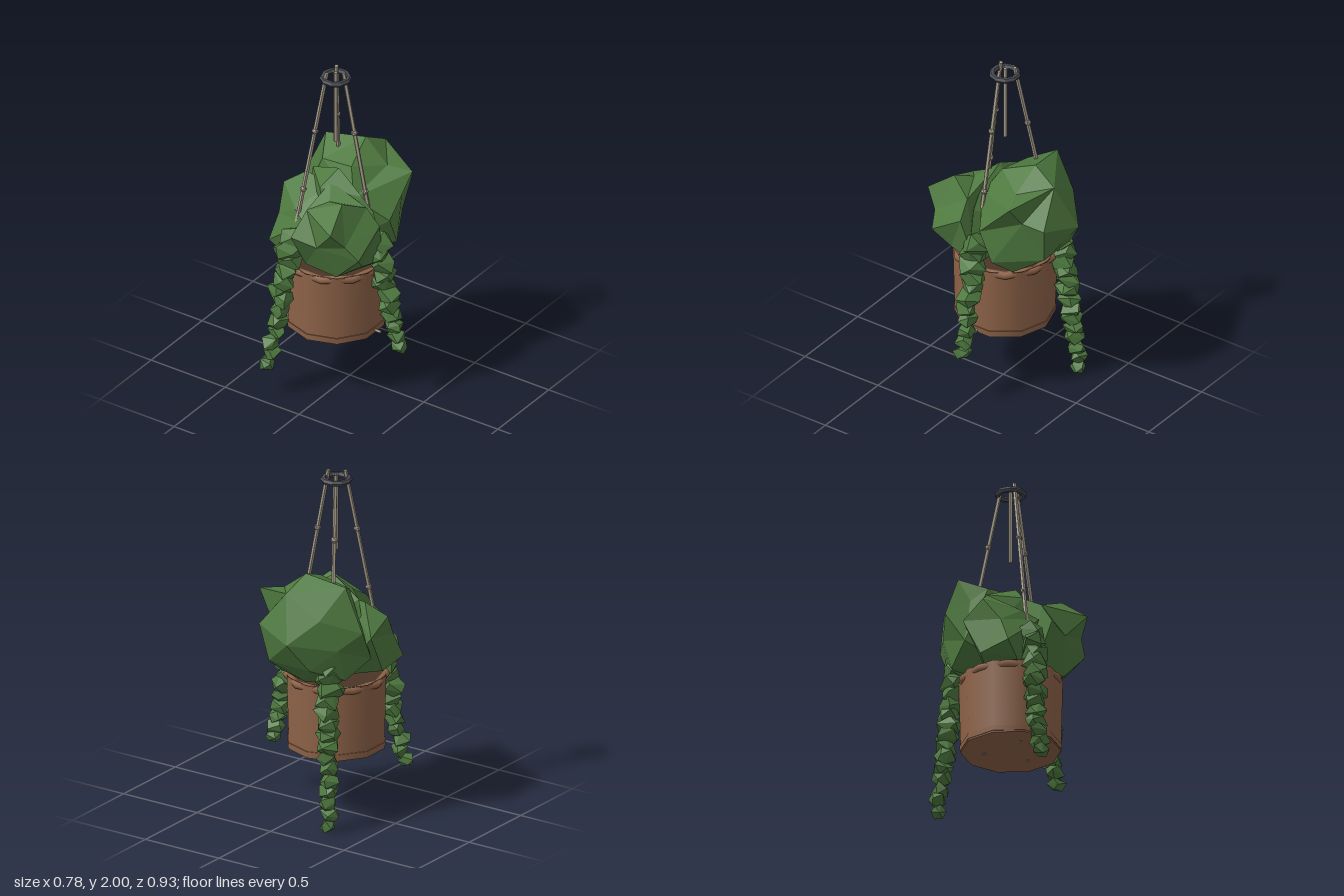
import * as THREE from 'three';
import { ConvexGeometry } from 'three/addons/geometries/ConvexGeometry.js';

const mat = (color, flatShading = false) => new THREE.MeshStandardMaterial({ color, flatShading });
const V = (x, y, z) => new THREE.Vector3(x, y, z);

// Small seeded generator, 0..1
function seeded(seed) {
  let s = seed;
  return () => (s = (s * 16807) % 2147483647) / 2147483647;
}

// Jagged closed clump: joins the points as seen from the centre, so dents stay
function clumpGeometry(centre, points) {
  const dirs = points.map((p) => p.clone().sub(centre).normalize());
  const geo = new ConvexGeometry(dirs);
  const pos = geo.attributes.position;
  const v = V(0, 0, 0);
  for (let i = 0; i < pos.count; i++) {
    v.fromBufferAttribute(pos, i);
    let best = 0;
    dirs.forEach((d, k) => { if (d.dot(v) > dirs[best].dot(v)) best = k; });
    pos.setXYZ(i, ...points[best].toArray());
  }
  geo.computeVertexNormals();
  return geo;
}

export function createModel() {
  const model = new THREE.Group();
  const green = mat(0x4f7a40, true);
  const clay = mat(0x8f6449);
  const rope = mat(0xa89e8c, true);
  const iron = mat(0x4a4c54, true);
  const soil = mat(0x4a3527);

  const add = (parent, name, geometry, material, pos) => {
    const mesh = new THREE.Mesh(geometry, material);
    mesh.name = name;
    if (pos) mesh.position.copy(pos);
    parent.add(mesh);
    return mesh;
  };

  // Pot, hanger and ropes share one axis
  const stand = new THREE.Group();
  stand.name = 'hangingPot';
  stand.position.set(-0.07, 0, 0.038);
  model.add(stand);

  // Pot: ten-sided tapered wall with a foot band, base and soil
  add(stand, 'potWall', new THREE.CylinderGeometry(0.291, 0.28, 0.435, 10, 1, true), clay, V(0, 0.597, 0));
  add(stand, 'footBand', new THREE.CylinderGeometry(0.286, 0.284, 0.03, 10), clay, V(0, 0.402, 0));
  add(stand, 'potBase', new THREE.CylinderGeometry(0.28, 0.28, 0.015, 10), clay, V(0, 0.385, 0));
  add(stand, 'soil', new THREE.CylinderGeometry(0.289, 0.289, 0.02, 10), soil, V(0, 0.8, 0));
  // Rim corners sit over the flats of the wall
  const rim = add(stand, 'potRim', new THREE.TorusGeometry(0.278, 0.022, 6, 10), clay, V(0, 0.793, 0));
  rim.rotation.x = Math.PI / 2;

  // Hanging ring
  const ring = add(stand, 'hangingRing', new THREE.TorusGeometry(0.074, 0.017, 6, 10), iron, V(0, 1.957, 0));
  ring.rotation.x = Math.PI / 2;

  // Straight five-sided rod between two points
  const rod = (parent, name, a, b, r) => {
    const dir = b.clone().sub(a);
    const mesh = add(parent, name, new THREE.CylinderGeometry(r, r, dir.length(), 5), rope,
      a.clone().add(b).multiplyScalar(0.5));
    mesh.quaternion.setFromUnitVectors(V(0, 1, 0), dir.normalize());
  };

  rod(stand, 'centreRope', V(0, 1.54, 0), V(0, 1.99, 0), 0.012);
  for (let i = 0; i < 3; i++) {
    const side = new THREE.Group();
    side.name = 'rope' + (i + 1);
    side.rotation.y = (i * Math.PI * 2) / 3;
    stand.add(side);
    rod(side, 'slantedRope', V(0.055, 2, 0), V(0.285, 0.85, 0), 0.012);
    for (const y of [1.64, 1.28, 0.92])
      add(side, 'knot', new THREE.IcosahedronGeometry(0.021, 0), rope, V(0.055 + (2 - y) * 0.2, y, 0));
    // Strap under the pot, one end poking through the wall
    rod(side, 'baseStrap', V(0, 0.392, 0), V(i === 0 ? 0.305 : 0.265, 0.392, 0), 0.009);
    add(side, 'baseKnot', new THREE.IcosahedronGeometry(0.018, 0), rope, V(0.15, 0.388, 0));
  }

  // Foliage clumps: first point is the centre, the rest its corners
  const clumps = {
    backFoliage: [[-0.04, 1.12, -0.13],
      [-0.08, 1.12, -0.46], [0.155, 1.18, -0.39], [0.0, 1.38, -0.35], [-0.03, 1.46, -0.2],
      [-0.28, 1.42, -0.17], [-0.21, 1.25, -0.33], [0.265, 1.32, -0.23], [-0.395, 1.17, -0.17],
      [0.255, 1.1, -0.02], [0.01, 1.38, 0.0], [-0.2, 1.35, -0.02], [0.08, 1.24, 0.08],
      [-0.37, 0.98, -0.05], [0.25, 0.92, -0.1], [0.11, 0.96, -0.36], [-0.16, 0.95, -0.35],
      [-0.3, 0.88, -0.2], [-0.04, 0.82, -0.22], [0.16, 0.84, -0.18], [-0.1, 0.84, 0.1],
      [0.18, 1.2, -0.26], [-0.27, 1.27, -0.09], [0.13, 1.34, -0.18], [-0.29, 1.07, -0.27]],
    frontFoliage: [[0.04, 1.06, 0.17],
      [0.265, 1.0, 0.3], [0.15, 1.18, 0.41], [0.27, 1.13, 0.1], [0.12, 1.3, 0.25],
      [0.0, 1.25, 0.2], [-0.06, 1.31, 0.1], [-0.135, 1.06, 0.385], [0.02, 1.03, 0.355],
      [-0.1, 1.2, 0.28], [0.22, 0.9, 0.2], [-0.12, 0.83, 0.26], [0.1, 0.83, 0.28],
      [0.24, 0.86, 0.02], [-0.1, 0.82, 0.0], [0.195, 1.08, 0.33], [0.19, 1.23, 0.11]],
    leftFoliage: [[-0.25, 1.04, 0.1],
      [-0.37, 0.9, 0.26], [-0.385, 1.19, 0.09], [-0.375, 1.1, -0.06], [-0.27, 1.27, 0.03],
      [-0.21, 1.14, 0.23], [-0.12, 1.1, 0.28], [-0.1, 1.26, 0.06], [-0.37, 0.87, 0.06],
      [-0.27, 0.83, 0.24], [-0.2, 0.81, 0.2], [-0.15, 0.83, -0.05], [-0.35, 1.05, 0.19]],
    middleFoliage: [[-0.05, 1.08, 0.05],
      [-0.25, 1.29, 0.0], [0.2, 1.18, 0.06], [0.13, 1.26, 0.07], [-0.04, 1.38, 0.05],
      [-0.1, 1.28, 0.15], [0.25, 0.97, 0.05], [-0.3, 1.0, 0.0], [0.0, 0.8, 0.05],
      [0.0, 1.1, -0.1], [0.0, 1.0, 0.22]],
  };
  for (const [name, pts] of Object.entries(clumps)) {
    const [centre, ...corners] = pts.map((p) => V(...p));
    add(model, name, clumpGeometry(centre, corners), green);
  }

  // Trailing vines: jagged leaf lumps strung along a curve
  const vine = (name, seed, count, pts) => {
    const rnd = seeded(seed);
    const curve = new THREE.CatmullRomCurve3(pts.map((p) => V(...p)));
    const group = new THREE.Group();
    group.name = name;
    model.add(group);
    for (let i = 0; i < count; i++) {
      const t = i / (count - 1);
      const r = 0.085 - 0.035 * t;
      const corners = [];
      for (let k = 0; k < 11; k++) {
        // Corners spread evenly over a ball, then roughened
        const h = 1 - (2 * (k + 0.5)) / 11;
        const a = k * 2.4 + rnd() * 0.8 + i;
        const w = Math.sqrt(1 - h * h) * r * (0.8 + rnd() * 0.45);
        corners.push(V(Math.cos(a) * w, h * r * (0.75 + rnd() * 0.3), Math.sin(a) * w));
      }
      const pos = curve.getPointAt(t).add(V((rnd() - 0.5) * 0.02, 0, (rnd() - 0.5) * 0.02));
      add(group, 'leafLump', new ConvexGeometry(corners), green, pos);
    }
  };
  vine('frontVine', 11, 13, [[-0.19, 0.99, 0.28], [-0.22, 0.75, 0.33], [-0.245, 0.45, 0.365], [-0.27, 0.205, 0.41]]);
  vine('leftVine', 37, 11, [[0.21, 0.98, 0.04], [0.265, 0.7, 0.035], [0.3, 0.5, 0.035], [0.345, 0.335, 0.03]]);
  vine('backVine', 73, 15, [[-0.2, 0.95, -0.22], [-0.22, 0.78, -0.25], [-0.245, 0.5, -0.28], [-0.26, 0.28, -0.3], [-0.27, 0.045, -0.32]]);

  return model;
}
